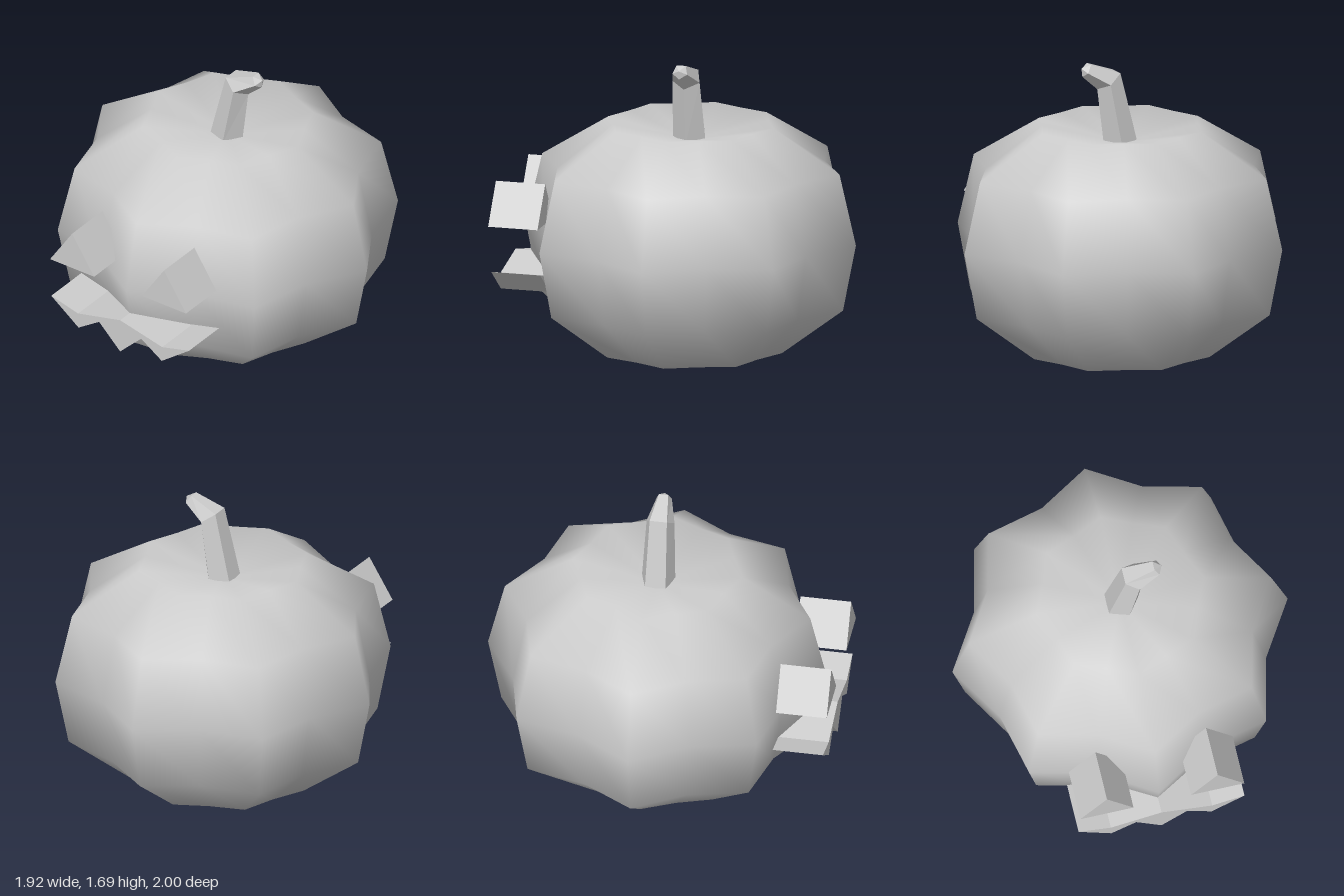
import * as THREE from 'three';
import { mergeVertices } from 'three/addons/utils/BufferGeometryUtils.js';

const CENTRE_Z = -0.04;

// Ribbed body: a 16-sided lathe whose odd columns are pulled in as grooves
function bodyGeometry() {
  // [ridge radius, height, groove radius ratio]
  const rings = [
    [0, 0, 1], [0.53, 0.03, 0.9], [0.885, 0.3, 0.865], [0.96, 0.68, 0.86],
    [0.865, 1.08, 0.865], [0.48, 1.32, 0.91], [0, 1.22, 1],
  ];
  const geo = new THREE.LatheGeometry(rings.map(([r, y]) => new THREE.Vector2(r, y)), 16);
  const pos = geo.attributes.position;
  for (let i = 0; i < pos.count; i++) {
    const column = Math.floor(i / rings.length);
    const k = column % 2 ? rings[i % rings.length][2] : 1;
    pos.setX(i, pos.getX(i) * k);
    pos.setZ(i, pos.getZ(i) * k);
  }
  // Weld the seam and the poles for smooth normals all round
  geo.deleteAttribute('normal');
  geo.deleteAttribute('uv');
  const welded = mergeVertices(geo, 1e-4);
  welded.computeVertexNormals();
  return welded;
}

// Bent five-sided stalk made of tilted pentagon rings, closed by a blunt point
function stemGeometry() {
  // [centre x, centre y, radius, downward tilt of the ring]
  const rings = [
    [0, 1.22, 0.1, 0], [0.074, 1.59, 0.083, 0.64],
    [0.21, 1.66, 0.045, 1.05], [0.238, 1.668, 0, 1.05],
  ];
  const sides = 5;
  const points = [];
  const index = [];
  rings.forEach(([x, y, r, tilt], j) => {
    for (let k = 0; k < sides; k++) {
      const a = (k / sides) * Math.PI * 2;
      const u = r * Math.cos(a);
      points.push(x + u * Math.cos(tilt), y - u * Math.sin(tilt), r * Math.sin(a));
      if (j === rings.length - 1) continue;
      const low = j * sides + k;
      const next = j * sides + ((k + 1) % sides);
      index.push(low, low + sides, next);
      if (j < rings.length - 2) index.push(next, low + sides, next + sides);
    }
  });
  const geo = new THREE.BufferGeometry();
  geo.setAttribute('position', new THREE.Float32BufferAttribute(points, 3));
  geo.setIndex(index);
  const flat = geo.toNonIndexed();
  flat.computeVertexNormals();
  return flat;
}

// Flat outline pushed out along z
function prism(outline, back, front) {
  const shape = new THREE.Shape(outline.map(([x, y]) => new THREE.Vector2(x, y)));
  const geo = new THREE.ExtrudeGeometry(shape, { depth: front - back, bevelEnabled: false });
  return geo.translate(0, 0, back);
}

export function createModel() {
  const model = new THREE.Group();
  model.name = 'carvedPumpkin';
  const grey = new THREE.MeshStandardMaterial({ color: 0xcccccc });
  grey.name = 'lightGrey';

  function add(name, geometry, z = 0) {
    const mesh = new THREE.Mesh(geometry, grey);
    mesh.name = name;
    mesh.position.z = z;
    model.add(mesh);
  }

  add('body', bodyGeometry(), CENTRE_Z);
  add('stem', stemGeometry(), CENTRE_Z);

  // Triangular eyes
  for (const [name, x] of [['leftEye', 0.317], ['rightEye', -0.317]]) {
    add(name, prism([[x - 0.152, 0.757], [x + 0.152, 0.757], [x, 0.985]], 0.713, 1), 0);
  }

  // Jagged grin, its right half mirrored from the left
  const half = [[0.475, 0.5], [0.29, 0.453], [0, 0.52]];
  const teeth = [[0, 0.312], [0.145, 0.453], [0.287, 0.36]];
  const mirror = (list) => list.filter(([x]) => x > 0).map(([x, y]) => [-x, y]).reverse();
  add('mouth', prism([...half, ...mirror(half), ...mirror(teeth), ...teeth], 0.695, 0.98));

  return model;
}
